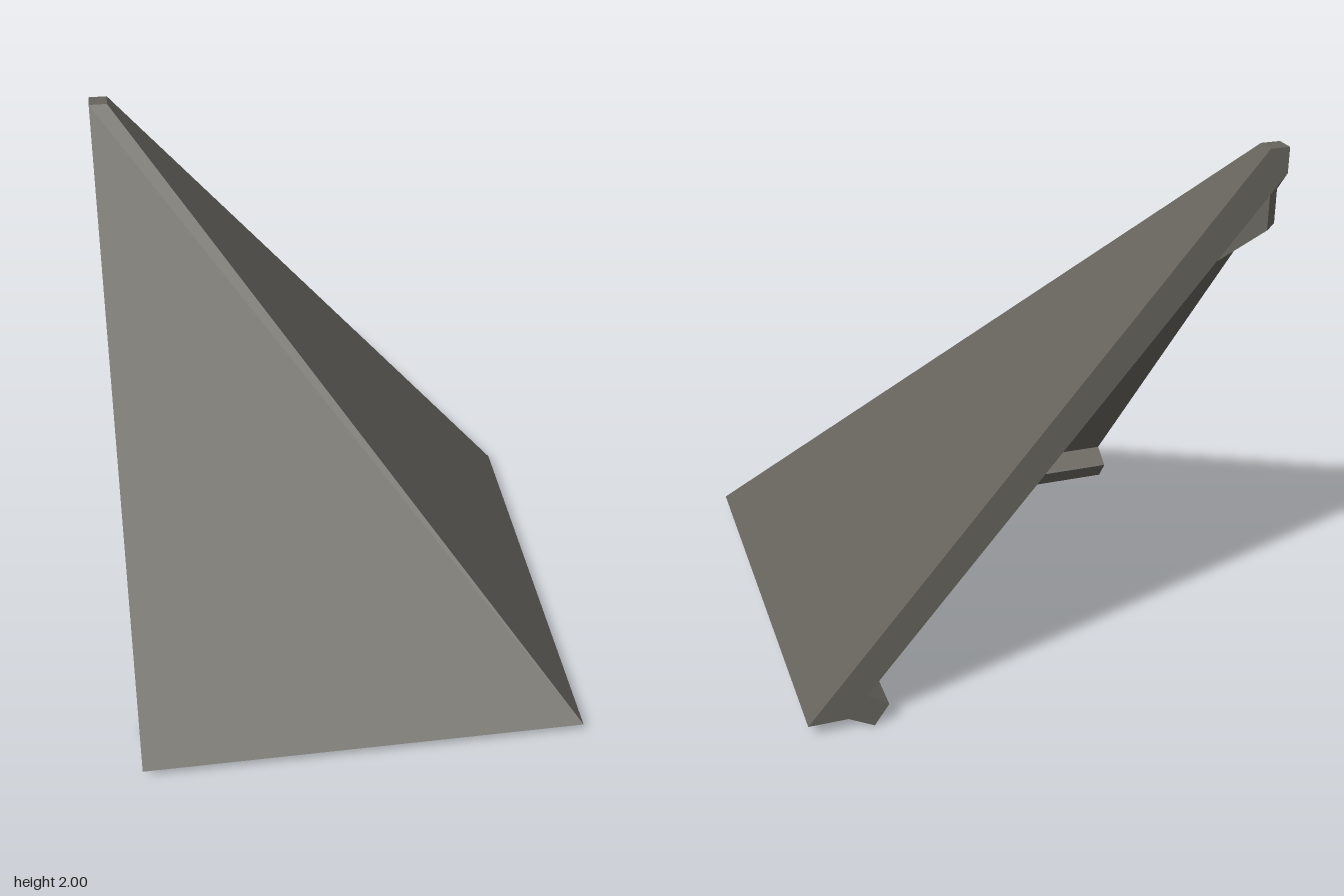
import * as THREE from 'three';

const EDGE = -0.85;                                   // the two open sides
const inner = d => 0.05 + (0.705 - d) * 1.196;        // height of the roof underside

// Extrudes a (distance, height) profile and moves each point by a rule.
// swap exchanges x and z, with the corner order turned so faces stay outward.
function sweep(profile, place, swap = false) {
  const shape = new THREE.Shape(profile.map(p => new THREE.Vector2(p[0], p[1])));
  const source = new THREE.ExtrudeGeometry(shape, { depth: 1, bevelEnabled: false });
  const p = source.attributes.position;
  const out = [];
  for (let i = 0; i < p.count; i += 3) {
    for (const k of swap ? [0, 2, 1] : [0, 1, 2]) {
      const [x, y, z] = place(p.getX(i + k), p.getY(i + k), p.getZ(i + k));
      out.push(...(swap ? [z, y, x] : [x, y, z]));
    }
  }
  const geometry = new THREE.BufferGeometry();
  geometry.setAttribute('position', new THREE.Float32BufferAttribute(out, 3));
  geometry.computeVertexNormals();
  return geometry;
}

export function createModel() {
  const model = new THREE.Group();
  model.name = 'cornerRoof';
  const slate = new THREE.MeshStandardMaterial({ color: 0x67645d });
  slate.name = 'dark slate';

  const add = (name, geometry) => {
    const mesh = new THREE.Mesh(geometry, slate);
    mesh.name = name;
    model.add(mesh);
  };

  // From the open side to the mitre on the diagonal
  const mitre = (d, y, t) => [d, y, t < 0.5 ? EDGE : d];
  // A straight run across the slope
  const rafterRun = (d, y, t) => [d, y, -0.35 + (t - 0.5) * 0.08];

  const slab = [[0.85, 0.05], [-0.78, 2], [EDGE, 2], [EDGE, inner(EDGE)], [0.705, 0.05]];
  const eave = [[0.705, 0.05], [0.635, inner(0.635)], [0.555, 0.08], [0.61, 0]];
  const rafter = [[0.66, inner(0.66)], [-0.37, inner(-0.37)],
    [-0.43, inner(-0.37) - 0.05], [0.60, inner(0.66) - 0.05]];

  // The two slopes mirror each other across the hip
  for (const [side, swap] of [['right', false], ['front', true]]) {
    add(side + 'RoofSlab', sweep(slab, mitre, swap));
    add(side + 'EaveBeam', sweep(eave, mitre, swap));
    add(side + 'Rafter', sweep(rafter, rafterRun, swap));
  }

  // Hip beam under the diagonal
  const top = -0.82, foot = 0.6, half = 0.028;
  const hip = [[top, inner(top) + 0.04], [top, inner(top) - 0.16],
    [foot, inner(foot) - 0.16], [foot, inner(foot) + 0.04]];
  add('hipBeam', sweep(hip, (d, y, t) => {
    const s = (t * 2 - 1) * half;
    return [d - s, y, d + s];
  }));

  return model;
}
